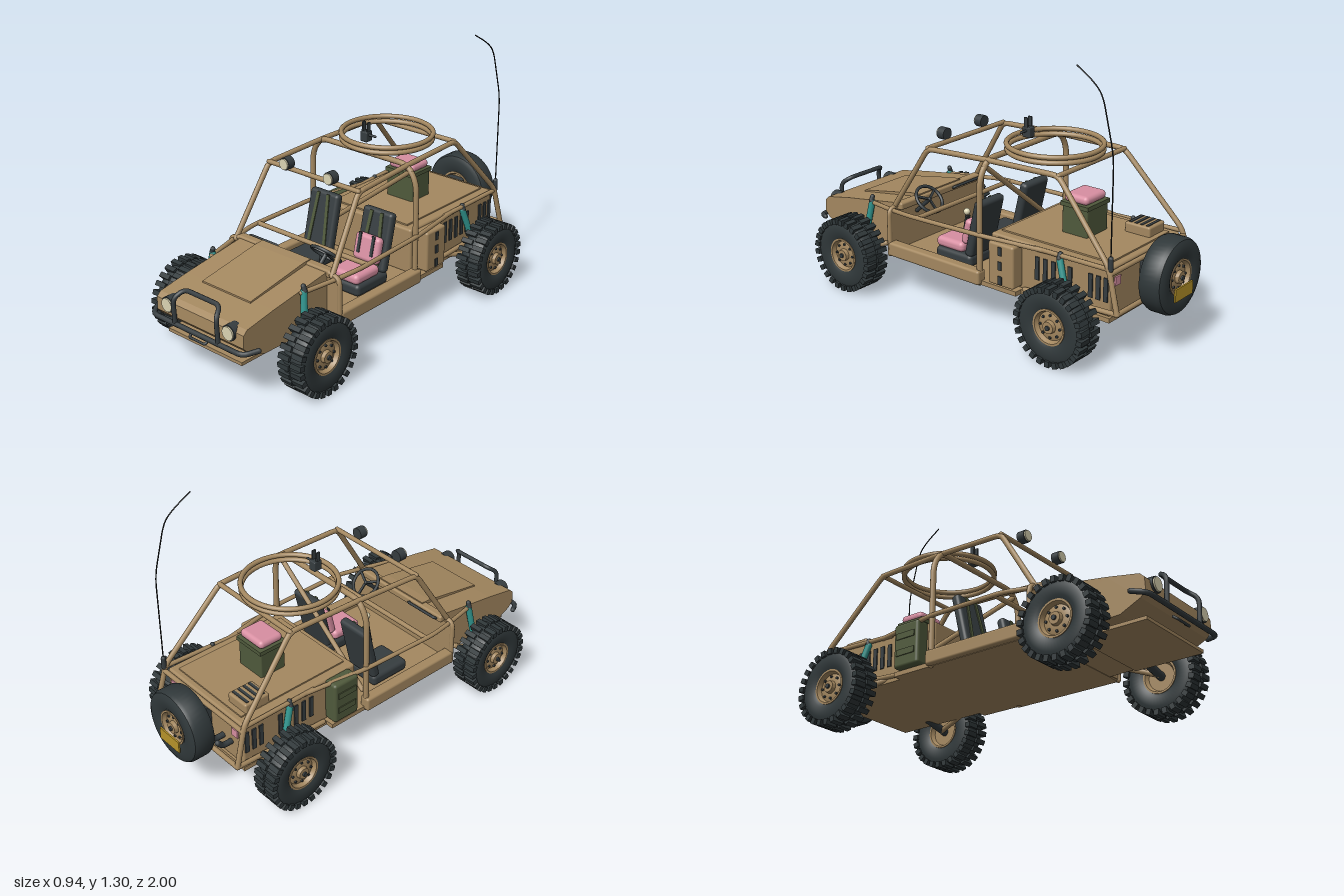
import * as THREE from 'three';
import { mergeGeometries, toCreasedNormals } from 'three/addons/utils/BufferGeometryUtils.js';
import { RoundedBoxGeometry } from 'three/addons/geometries/RoundedBoxGeometry.js';

const material = (name, color) => Object.assign(new THREE.MeshStandardMaterial({ color }), { name });
const tan = material('tan', 0xa48860), dark = material('charcoal', 0x363d40), rubber = material('rubber', 0x30383a);
const pink = material('pink', 0xd88fa2), olive = material('olive', 0x505a3c), teal = material('teal', 0x2f938c);
const cream = material('cream', 0xdcd5b4), yellow = material('yellow', 0xb8942a), black = material('black', 0x161818);
const V = (x, y, z) => new THREE.Vector3(x, y, z);

export function createModel() {
  const root = new THREE.Group();
  root.name = 'buggy';
  const add = (name, geo, mat, pos = [0, 0, 0], parent = root) => {
    const mesh = new THREE.Mesh(geo, mat);
    mesh.name = name;
    mesh.position.set(...pos);
    parent.add(mesh);
    return mesh;
  };
  // box given by its limits on each axis
  const box = (name, mat, x0, x1, y0, y1, z0, z1, r = 0) => {
    const size = [Math.abs(x1 - x0), y1 - y0, Math.abs(z1 - z0)];
    const geo = r ? new RoundedBoxGeometry(...size, 3, r) : new THREE.BoxGeometry(...size);
    return add(name, geo, mat, [(x0 + x1) / 2, (y0 + y1) / 2, (z0 + z1) / 2]);
  };
  // bent pipe with rounded corners and closed ends
  const pipe = (name, mat, r, pts, bend = 0.05) => {
    const p = pts.map(a => V(...a)), path = new THREE.CurvePath();
    let from = p[0];
    for (let i = 1; i < p.length - 1; i++) {
      const cut = to => p[i].clone().lerp(to, Math.min(0.45, bend / p[i].distanceTo(to)));
      const a = cut(p[i - 1]), b = cut(p[i + 1]);
      path.add(new THREE.LineCurve3(from, a));
      path.add(new THREE.QuadraticBezierCurve3(a, p[i], b));
      from = b;
    }
    path.add(new THREE.LineCurve3(from, p[p.length - 1]));
    const n = p.length > 2 ? p.length * 12 : 1;
    const parts = [new THREE.TubeGeometry(path, n, r, 10)];
    for (const e of [p[0], p[p.length - 1]]) parts.push(new THREE.SphereGeometry(r, 10, 6).translate(e.x, e.y, e.z));
    return add(name, mergeGeometries(parts), mat);
  };
  // side outline of [z, y] points, extruded across x
  const profile = (name, mat, pts, width, x = 0) => {
    const shape = new THREE.Shape(pts.map(([z, y]) => new THREE.Vector2(z, y)));
    const geo = new THREE.ExtrudeGeometry(shape, { depth: width, bevelEnabled: false });
    return add(name, geo.translate(0, 0, -width / 2).rotateY(-Math.PI / 2), mat, [x, 0, 0]);
  };
  const lathe = (pts, n = 36) => toCreasedNormals(new THREE.LatheGeometry(pts.map(p => new THREE.Vector2(...p)), n), 0.6);
  const disc = (name, mat, r, depth, pos) => add(name, new THREE.CylinderGeometry(r, r, depth, 24).rotateX(Math.PI / 2), mat, pos);

  // wheel whose outer side is local +y
  const wheel = (name, R, tread) => {
    const g = new THREE.Group();
    g.name = name;
    const t = tread ? R - 0.012 : R;
    add('tyre', lathe([[0.08, -0.05], [0.1, -0.06], [t - 0.03, -0.062], [t - 0.008, -0.052], [t, -0.035], [t, 0.035],
      [t - 0.008, 0.052], [t - 0.03, 0.062], [0.1, 0.06], [0.08, 0.05]], 48), rubber, [0, 0, 0], g);
    if (tread) {
      const blocks = [], n = 26;
      for (let i = 0; i < n; i++) for (const s of [-1, 1]) {
        const a = (i + (s > 0 ? 0.5 : 0)) * Math.PI * 2 / n;
        blocks.push(new THREE.BoxGeometry(0.024, 0.062, 0.028).translate(0, s * 0.036, R - 0.0145).rotateY(a));
      }
      add('treadBlocks', mergeGeometries(blocks), rubber, [0, 0, 0], g);
    }
    add('rim', lathe([[0, -0.035], [0.065, -0.035], [0.075, -0.056], [0.084, -0.056], [0.084, 0.056], [0.075, 0.056],
      [0.066, 0.035], [0.045, 0.042], [0.03, 0.042], [0.027, 0.06], [0, 0.06]]), tan, [0, 0, 0], g);
    add('hubCap', new THREE.CylinderGeometry(0.011, 0.011, 0.012, 12), dark, [0, 0.062, 0], g);
    for (let i = 0; i < 8; i++) {
      const a = i * Math.PI / 4;
      add('wheelBolt', new THREE.CylinderGeometry(0.006, 0.006, 0.012, 8), dark, [0.052 * Math.cos(a), 0.041, 0.052 * Math.sin(a)], g);
    }
    root.add(g);
    return g;
  };

  // floor, sills and bodywork
  box('floor', tan, -0.33, 0.33, 0.203, 0.225, -0.33, 0.44);
  box('rearFloor', tan, -0.29, 0.29, 0.203, 0.225, -0.81, -0.33);
  box('firewall', tan, -0.335, 0.335, 0.21, 0.43, 0.43, 0.445);
  box('cowl', tan, -0.29, 0.29, 0.425, 0.462, 0.405, 0.45, 0.01);
  profile('nose', tan, [[0.44, 0.452], [0.78, 0.4], [0.94, 0.37], [0.962, 0.35], [0.965, 0.29], [0.94, 0.262], [0.84, 0.215], [0.44, 0.205]], 0.54);
  profile('hoodPanel', tan, [[0.42, 0.468], [0.47, 0.464], [0.8, 0.404], [0.8, 0.39], [0.42, 0.43]], 0.3);
  box('skidPlate', tan, -0.23, 0.23, 0.182, 0.198, 0.6, 0.94);
  box('engineBody', tan, -0.275, 0.275, 0.22, 0.45, -0.8, -0.14, 0.012);
  box('deckLid', tan, -0.23, 0.23, 0.448, 0.457, -0.77, -0.17);
  box('sidePod', tan, 0.27, 0.345, 0.235, 0.44, -0.325, -0.18, 0.012);
  box('jerryCan', olive, -0.345, -0.27, 0.235, 0.45, -0.325, -0.18, 0.015);
  for (const y of [0.26, 0.33, 0.4]) box('podStrap', dark, 0.343, 0.35, y - 0.015, y + 0.025, -0.262, -0.242);
  for (const y of [0.29, 0.37]) box('canRib', olive, -0.35, -0.343, y, y + 0.03, -0.305, -0.2);

  for (const s of [-1, 1]) {
    // sills, body sides and vents
    box('sill', tan, s * 0.3, s * 0.355, 0.205, 0.275, -0.13, 0.44, 0.012);
    for (const z of [-0.41, -0.455, -0.5, -0.545, -0.59, -0.7, -0.74, -0.78])
      box('sideVent', dark, s * 0.273, s * 0.281, 0.29, 0.4, z - 0.011, z + 0.011);
    pipe('sideRail', tan, 0.011, [[s * 0.28, 0.42, 0.62], [s * 0.32, 0.43, 0.44], [s * 0.345, 0.44, 0.3], [s * 0.335, 0.447, -0.115], [s * 0.28, 0.44, -0.45]]);
    pipe('cowlPost', tan, 0.012, [[s * 0.34, 0.21, 0.44], [s * 0.34, 0.435, 0.44], [s * 0.28, 0.45, 0.44]], 0.03);
    // cage sides
    pipe('windscreenPost', tan, 0.013, [[s * 0.3, 0.44, 0.445], [s * 0.275, 0.768, 0.24], [s * 0.265, 0.785, -0.115], [s * 0.25, 0.79, -0.5], [s * 0.29, 0.46, -0.8], [s * 0.3, 0.26, -0.855]], 0.03);
    pipe('lowerRearRail', tan, 0.012, [[s * 0.29, 0.23, -0.35], [s * 0.3, 0.26, -0.855]]);
    pipe('upperRearRail', tan, 0.011, [[s * 0.28, 0.44, -0.4], [s * 0.29, 0.45, -0.8]]);
    // wheels and suspension
    for (const [z, end] of [[0.65, 'front'], [-0.612, 'rear']]) {
      const w = wheel(end + 'Wheel', 0.185, true);
      w.position.set(s * 0.4025, 0.185, z);
      w.rotation.z = -s * Math.PI / 2;
      pipe(end + 'Axle', dark, 0.02, [[s * 0.24, 0.215, z], [s * 0.37, 0.185, z]]);
      const lean = end === 'front' ? [0.63, 0.61] : [-0.585, -0.54];
      pipe(end + 'Shock', teal, 0.016, [[s * 0.303, 0.29, lean[0]], [s * 0.285, 0.425, lean[1]]]);
      pipe(end + 'ShockMount', dark, 0.012, [[s * 0.29, 0.43, lean[1]], [s * 0.282, 0.45, lean[1]]]);
      pipe(end + 'TrailingArm', tan, 0.013, [[s * 0.28, 0.225, z + (z > 0 ? -0.12 : 0.2)], [s * 0.34, 0.185, z]]);
    }
    // headlamps and roof lamps
    disc('headlamp', dark, 0.037, 0.05, [s * 0.19, 0.34, 0.948]);
    disc('headlampLens', cream, 0.032, 0.008, [s * 0.19, 0.34, 0.976]);
    disc('roofLamp', dark, 0.03, 0.04, [s * 0.135, 0.806, 0.263]);
    disc('roofLampLens', cream, 0.026, 0.008, [s * 0.135, 0.806, 0.286]);
    box('tailLamp', pink, s * 0.205, s * 0.245, 0.36, 0.4, -0.808, -0.8);

    // bucket seats with straps
    const x = s * 0.168;
    box('seatCushion', dark, x - 0.09, x + 0.09, 0.225, 0.285, 0, 0.22, 0.02);
    const back = new THREE.Group();
    back.name = 'seatBack';
    back.position.set(x, 0.42, -0.012);
    back.rotation.x = -0.23;
    root.add(back);
    add('backrest', new RoundedBoxGeometry(0.18, 0.29, 0.045, 3, 0.018), dark, [0, 0, 0], back);
    for (const q of [-1, 1]) {
      const strap = add('strap', new THREE.BoxGeometry(0.018, 0.25, 0.007), olive, [q * 0.04, 0.01, 0.024], back);
      strap.rotation.z = q * 0.08;
    }
    if (s > 0) {
      add('backPad', new RoundedBoxGeometry(0.15, 0.13, 0.045, 4, 0.02), pink, [0, -0.04, 0.046], back);
      for (const q of [-1, 1]) add('padStrap', new THREE.BoxGeometry(0.016, 0.1, 0.006), dark, [q * 0.04, -0.02, 0.07], back);
      box('seatPad', pink, x - 0.085, x + 0.085, 0.283, 0.335, 0.055, 0.222, 0.022);
    }
  }

  // cage hoop and cross bars
  pipe('mainHoop', tan, 0.014, [[-0.325, 0.21, -0.115], [-0.322, 0.71, -0.115], [-0.27, 0.79, -0.115], [0.27, 0.79, -0.115], [0.322, 0.71, -0.115], [0.325, 0.21, -0.115]]);
  pipe('diagonalBrace', tan, 0.012, [[0.29, 0.765, -0.115], [-0.3, 0.3, -0.115]]);
  for (const [y, z, x] of [[0.771, 0.24, 0.275], [0.79, -0.5, 0.25], [0.26, -0.855, 0.3], [0.43, -0.81, 0.29], [0.44, 0.255, 0.34]])
    pipe('crossBar', tan, 0.012, [[-x, y, z], [x, y, z]]);

  // roof ring with swivel mount
  for (const [y, r] of [[0.812, 0.22], [0.838, 0.222]])
    add('roofRing', new THREE.TorusGeometry(r, 0.012, 10, 56).rotateX(Math.PI / 2), tan, [0, y, -0.292]);
  box('mountBase', dark, -0.02, 0.02, 0.835, 0.885, -0.16, -0.115, 0.005);
  for (const s of [-1, 1]) box('mountFork', dark, s * 0.01, s * 0.018, 0.88, 0.93, -0.145, -0.125);
  pipe('mountLever', dark, 0.006, [[0, 0.868, -0.137], [0.055, 0.868, -0.137]]);

  // front guard
  pipe('bumper', dark, 0.012, [[-0.315, 0.28, 0.92], [-0.28, 0.27, 0.982], [0.28, 0.27, 0.982], [0.315, 0.28, 0.92]], 0.03);
  pipe('guardHoop', dark, 0.011, [[-0.135, 0.27, 0.982], [-0.135, 0.395, 0.988], [-0.11, 0.43, 0.94], [0.11, 0.43, 0.94], [0.135, 0.395, 0.988], [0.135, 0.27, 0.982]], 0.03);
  pipe('towLoop', dark, 0.006, [[-0.05, 0.25, 0.96], [-0.05, 0.235, 0.98], [0.05, 0.235, 0.98], [0.05, 0.25, 0.96]], 0.01);

  // steering wheel and cockpit fittings
  const steer = new THREE.Group();
  steer.name = 'steeringWheel';
  steer.position.set(0.168, 0.467, 0.337);
  steer.rotation.x = -Math.PI / 4;
  root.add(steer);
  add('wheelRim', new THREE.TorusGeometry(0.073, 0.008, 8, 32).rotateX(Math.PI / 2), dark, [0, 0, 0], steer);
  for (let i = 0; i < 3; i++)
    add('spoke', new THREE.BoxGeometry(0.072, 0.007, 0.012).translate(0.036, 0, 0).rotateY(i * Math.PI * 2 / 3 + Math.PI / 2), dark, [0, 0, 0], steer);
  pipe('steeringColumn', dark, 0.01, [[0.168, 0.467, 0.337], [0.168, 0.39, 0.42]]);
  pipe('gearLever', dark, 0.005, [[0.03, 0.225, 0.25], [0.03, 0.385, 0.22]]);
  add('gearKnob', new THREE.SphereGeometry(0.017, 14, 10), cream, [0.03, 0.392, 0.218]);
  pipe('grabHandle', dark, 0.007, [[-0.26, 0.44, 0.41], [-0.26, 0.45, 0.392], [-0.08, 0.45, 0.392], [-0.08, 0.44, 0.41]], 0.01);

  // cargo on the rear deck
  box('cargoBox', olive, -0.08, 0.08, 0.45, 0.6, -0.535, -0.395, 0.008);
  box('cargoLid', olive, -0.086, 0.086, 0.585, 0.605, -0.541, -0.389);
  box('cargoCushion', pink, -0.078, 0.078, 0.604, 0.646, -0.53, -0.4, 0.02);
  box('airIntake', tan, -0.232, -0.105, 0.45, 0.503, -0.745, -0.61, 0.01);
  for (let i = 0; i < 4; i++) box('intakeSlat', dark, -0.22, -0.117, 0.5, 0.506, -0.73 + i * 0.03, -0.716 + i * 0.03);
  for (const x of [-0.19, -0.132]) pipe('exhaust', dark, 0.014, [[x, 0.31, -0.79], [x, 0.31, -0.85], [x, 0.34, -0.875]], 0.02);

  // spare wheel and plate
  const spare = wheel('spareWheel', 0.176, false);
  spare.position.set(0, 0.366, -0.925);
  spare.rotation.x = -Math.PI / 2;
  box('spareCarrier', dark, -0.05, 0.05, 0.3, 0.42, -0.9, -0.795);
  box('rearPlate', yellow, -0.07, 0.07, 0.275, 0.335, -1, -0.992);

  // whip antenna
  pipe('antennaBase', dark, 0.012, [[0.29, 0.45, -0.81], [0.29, 0.5, -0.81]]);
  pipe('antenna', black, 0.003, [[0.29, 0.48, -0.81], [0.29, 0.95, -0.81], [0.285, 1.2, -0.745], [0.28, 1.25, -0.69], [0.275, 1.3, -0.605]], 0.06);
  return root;
}
